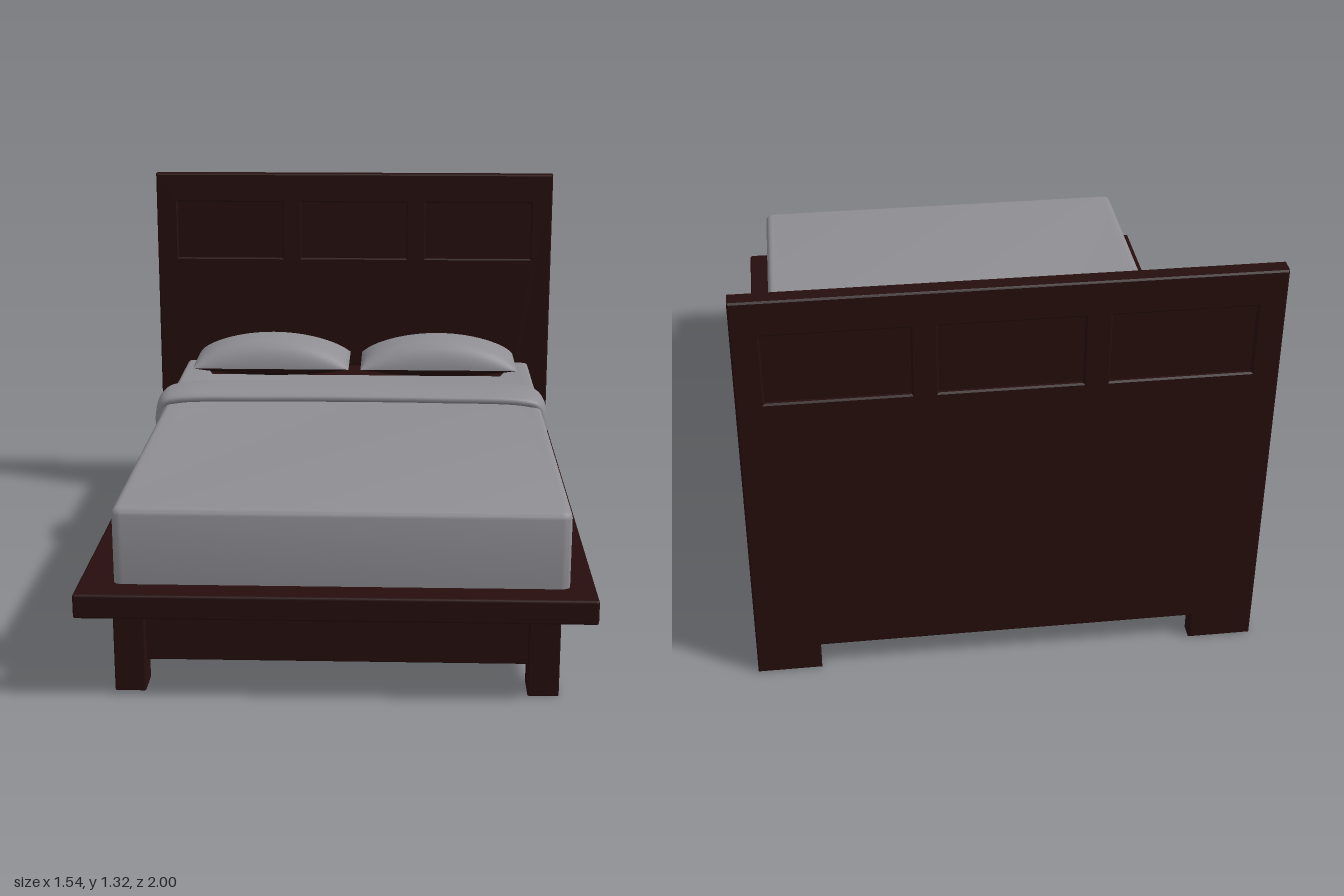
import * as THREE from 'three';
import { toCreasedNormals } from 'three/addons/utils/BufferGeometryUtils.js';
import { RoundedBoxGeometry } from 'three/addons/geometries/RoundedBoxGeometry.js';

const wood = new THREE.MeshStandardMaterial({ color: 0x260e0d });
wood.name = 'dark wood';
const linen = new THREE.MeshStandardMaterial({ color: 0x8f8e93 });
linen.name = 'grey linen';

function add(parent, name, geometry, material) {
  const mesh = new THREE.Mesh(geometry, material);
  mesh.name = name;
  parent.add(mesh);
  return mesh;
}

// Box given by its minimum and maximum corners, with a small edge radius
function box(parent, name, [x0, y0, z0], [x1, y1, z1], r = 0.005) {
  const g = new RoundedBoxGeometry(x1 - x0, y1 - y0, z1 - z0, 2, r);
  g.translate((x0 + x1) / 2, (y0 + y1) / 2, (z0 + z1) / 2);
  return add(parent, name, g, wood);
}

const polygon = (Type, pts) => new Type(pts.map(([x, y]) => new THREE.Vector2(x, y)));

// Headboard with three recessed panels and a cut-out between its legs
function headboard(parent) {
  const shape = polygon(THREE.Shape, [
    [-0.77, 0], [-0.575, 0], [-0.575, 0.09], [0.575, 0.09],
    [0.575, 0], [0.77, 0], [0.77, 1.32], [-0.77, 1.32],
  ]);
  for (const x of [-0.485, 0, 0.485]) {
    shape.holes.push(polygon(THREE.Path, [
      [x - 0.205, 0.99], [x - 0.205, 1.21], [x + 0.205, 1.21], [x + 0.205, 0.99],
    ]));
    box(parent, 'headboardPanel', [x - 0.21, 0.985, -0.987], [x + 0.21, 1.215, -0.958]);
  }
  const b = 0.005;
  const g = new THREE.ExtrudeGeometry(shape, {
    depth: 0.055 - 2 * b, bevelThickness: b, bevelSize: b, bevelOffset: -b, bevelSegments: 1,
  });
  g.translate(0, 0, -1 + b);
  add(parent, 'headboard', g, wood);
}

// Fitted sheet, open at the head end beneath the pillows
function sheet(parent) {
  const s = new THREE.Shape();
  s.moveTo(-0.63, -0.91);
  s.lineTo(0.66, -0.91);
  s.quadraticCurveTo(0.69, -0.91, 0.69, -0.88);
  s.lineTo(0.69, 0.915);
  s.lineTo(0.63, 0.925);
  s.lineTo(0.56, 0.7);
  s.lineTo(-0.53, 0.7);
  s.lineTo(-0.6, 0.925);
  s.lineTo(-0.66, 0.915);
  s.lineTo(-0.66, -0.88);
  s.quadraticCurveTo(-0.66, -0.91, -0.63, -0.91);
  const b = 0.022;
  const g = new THREE.ExtrudeGeometry(s, {
    depth: 0.285 - 2 * b, bevelThickness: b, bevelSize: b, bevelOffset: -b,
    bevelSegments: 4, curveSegments: 5,
  });
  g.rotateX(-Math.PI / 2);
  g.translate(0, 0.3 + b, 0);
  add(parent, 'sheet', toCreasedNormals(g, 0.6), linen);
}

// One half of a pillow: side +1 is the puffed top, -1 the shallow underside
function pillowHalf(parent, name, cx, side, rise, material) {
  const g = new THREE.PlaneGeometry(2, 2, 32, 24);
  g.rotateX(-side * Math.PI / 2);
  const p = g.attributes.position;
  for (let i = 0; i < p.count; i++) {
    const u = Math.sin(p.getX(i) * Math.PI / 2);
    const v = Math.sin(p.getZ(i) * Math.PI / 2);
    const puff = Math.pow(Math.max(0, 1 - u * u), 0.6) * Math.pow(Math.max(0, 1 - v ** 4), 0.6);
    const back = -0.855 - 0.035 * u ** 4;
    p.setXYZ(i, cx + 0.295 * u, 0.627 + side * rise * puff,
      THREE.MathUtils.lerp(back, -0.597, (v + 1) / 2));
  }
  g.computeVertexNormals();
  add(parent, name, g, material);
}

// Folded blanket: an oval section swept over the bed; path z holds the half width
function blanket(parent) {
  const half = [
    [0.685, 0.365, 0.07], [0.685, 0.45, 0.08], [0.684, 0.54, 0.09],
    [0.667, 0.588, 0.1], [0.62, 0.604, 0.107], [0.3, 0.613, 0.11],
  ];
  const points = [
    ...half, [0, 0.615, 0.112],
    ...half.map(([x, y, w]) => [-x, y, w]).reverse(),
  ].map((q) => new THREE.Vector3(...q));
  const path = new THREE.CatmullRomCurve3(points);
  const N = 96, M = 24, pos = [], index = [];
  for (let i = 0; i <= N; i++) {
    const c = path.getPoint(i / N);
    const t = path.getTangent(i / N);
    t.z = 0;
    t.normalize();
    const end = Math.min(i, N - i);
    const scale = end < 3 ? Math.sqrt(1 - ((3 - end) / 3) ** 2) : 1;
    for (let j = 0; j < M; j++) {
      const a = (j / M) * Math.PI * 2;
      const n = 0.025 * scale * Math.sign(Math.cos(a)) * Math.abs(Math.cos(a)) ** 0.8;
      const w = c.z * (0.8 + 0.2 * scale) * (end ? 1 : 0.9) * Math.sin(a);
      pos.push(0.008 + c.x + t.y * n, c.y - t.x * n, -0.33 + w);
      if (i < N) {
        const k = i * M + j, l = i * M + ((j + 1) % M);
        index.push(k, k + M, l, l, k + M, l + M);
      }
    }
  }
  const g = new THREE.BufferGeometry();
  g.setAttribute('position', new THREE.Float32BufferAttribute(pos, 3));
  g.setIndex(index);
  g.computeVertexNormals();
  add(parent, 'foldedBlanket', g, linen);
}

export function createModel() {
  const bed = new THREE.Group();
  bed.name = 'bed';

  // Wooden frame
  const frame = new THREE.Group();
  frame.name = 'frame';
  bed.add(frame);
  headboard(frame);
  box(frame, 'platform', [-0.765, 0.275, -0.95], [0.765, 0.35, 1], 0.008);
  box(frame, 'frontRail', [-0.6, 0.09, 0.835], [0.6, 0.28, 0.865]);
  for (const s of [-1, 1]) {
    const x = 0.62 * s;
    box(frame, 'frontLeg', [x - 0.047, 0, 0.795], [x + 0.047, 0.28, 0.895]);
    box(frame, 'sideRail', [x - 0.018, 0.09, -0.95], [x + 0.018, 0.28, 0.82]);
  }

  // Bedding
  const bedding = new THREE.Group();
  bedding.name = 'bedding';
  bed.add(bedding);
  box(bedding, 'mattressCore', [-0.64, 0.34, -0.935], [0.67, 0.565, -0.6], 0.02);
  sheet(bedding);
  blanket(bedding);
  for (const cx of [-0.305, 0.33]) {
    pillowHalf(bedding, 'pillowTop', cx, 1, 0.105, linen);
    pillowHalf(bedding, 'pillowUnderside', cx, -1, 0.038, wood);
  }
  return bed;
}
